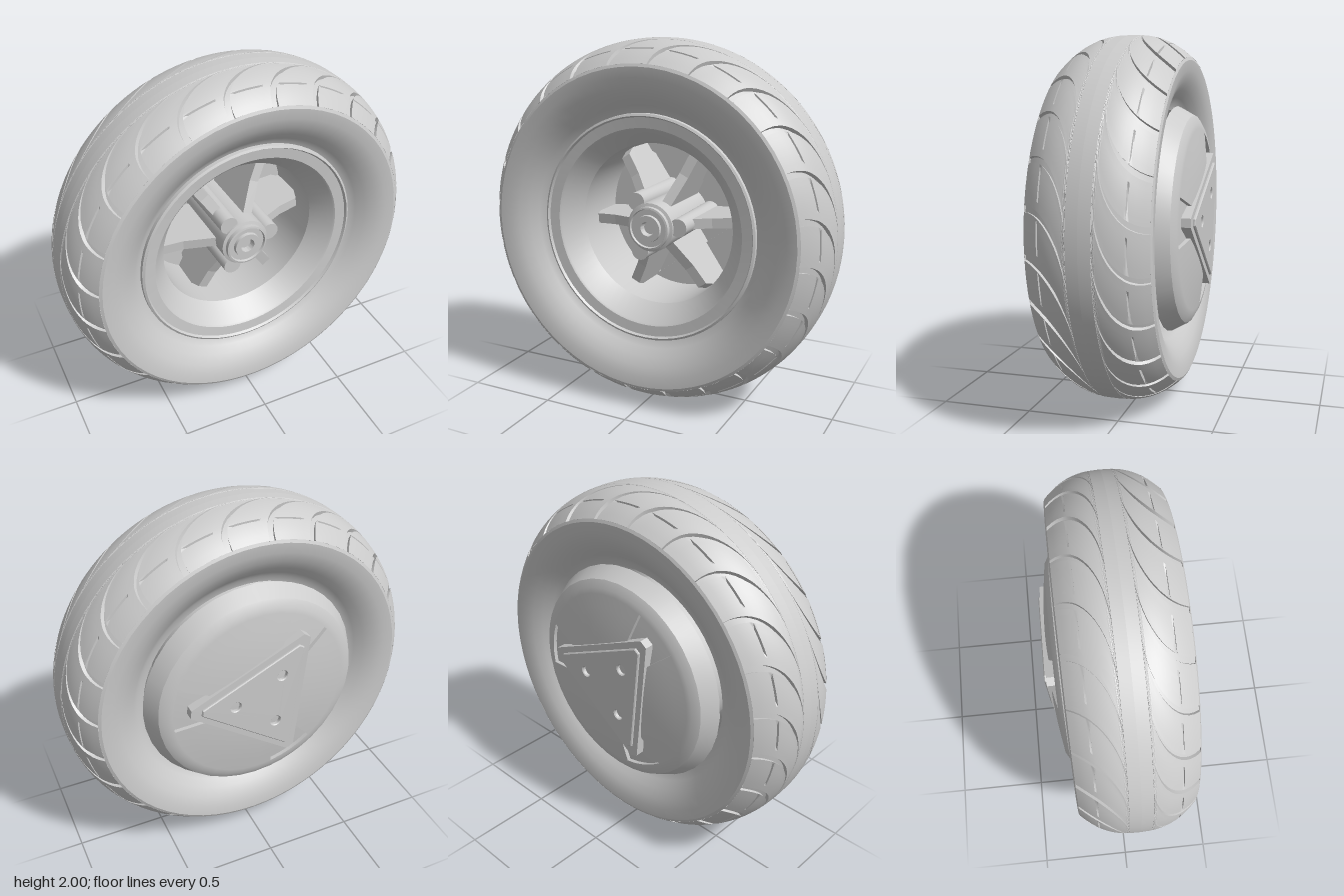
import * as THREE from 'three';
import { toCreasedNormals } from 'three/addons/utils/BufferGeometryUtils.js';

const MID = 0.045;              // z of the tyre's centre plane
const TURN = 6 * Math.PI / 180; // angle of the three-fold parts
const THIRD = Math.PI * 2 / 3;
const mat = new THREE.MeshStandardMaterial({ color: 0xcccccc, side: THREE.DoubleSide });

function add(parent, name, geo) {
  const mesh = new THREE.Mesh(geo, mat);
  mesh.name = name;
  parent.add(mesh);
  return mesh;
}

// Surface of rows and columns that closes on itself around the axle
function ringGrid(rows, cols, point) {
  const pos = [], index = [];
  rows.forEach((row) => cols.forEach((col) => {
    const [r, angle, z] = point(row, col);
    pos.push(r * Math.cos(angle), r * Math.sin(angle), z);
  }));
  const n = cols.length;
  for (let i = 0; i < rows.length - 1; i++) {
    for (let j = 0; j < n; j++) {
      const k = (j + 1) % n, a = i * n + j, b = i * n + k;
      index.push(a, b, b + n, a, b + n, a + n);
    }
  }
  const geo = new THREE.BufferGeometry();
  geo.setAttribute('position', new THREE.Float32BufferAttribute(pos, 3));
  geo.setIndex(index);
  return toCreasedNormals(geo, 0.45);
}

// Lathe about the z axis from [radius, z] points
function turned(points, segments = 64) {
  const geo = new THREE.LatheGeometry(points.map((p) => new THREE.Vector2(...p)), segments);
  return toCreasedNormals(geo.rotateX(Math.PI / 2), 0.45);
}

// Half of the tread, with curved grooves that narrow to a tip
function treadHalf() {
  const count = 24, period = Math.PI * 2 / count, edge = 0.305, tip = 0.06;
  const rows = [{ v: 0, phi: 0, cut: 0 }];
  const addRow = (phi, cut) => rows.push({ v: tip + (edge - tip) * (1 - Math.cos(phi)), phi, cut });
  for (let i = 0; i <= 14; i++) {
    addRow(i / 14 * Math.PI / 2, 0);
    // short cross groove between neighbouring curves
    if (i === 10) [[1.16, 0], [1.16, 1], [1.2, 1], [1.2, 0]].forEach((r) => addRow(...r));
  }
  const cols = [];
  for (let n = 0; n < count; n++) {
    [[0, 0], [0, 1], [1, 1], [1, 0]].forEach(([side, deep]) => cols.push({ n, side, deep, k: 0 }));
    for (let k = 1; k < 5; k++) cols.push({ n, side: 1, deep: 0, k });
  }
  return ringGrid(rows, cols, (row, col) => {
    const s = Math.sin(row.phi), w = 0.036 * Math.sqrt(s);
    const angle = col.n * period + 0.42 * s + col.side * w + (period - w) * col.k / 5;
    const groove = col.deep || (row.cut && col.k > 1);
    const depth = groove ? 0.02 * Math.min(1, s * 3) : 0;
    return [1 - 0.12 * (row.v / edge) ** 2.5 - depth, angle, row.v];
  });
}

// Domed cover with three shallow recesses
function coverGeometry() {
  const dome = (r) => -0.35 + 0.17 * r * r;
  const rows = [[0, 0], [0.15, 0], [0.27, 0], [0.27, 1], [0.35, 1], [0.43, 1], [0.5, 1], [0.5, 0]]
    .map(([r, low]) => ({ r, z: dome(r), low }));
  [[0.53, -0.303], [0.57, -0.28], [0.62, -0.19]].forEach(([r, z]) => rows.push({ r, z, low: 0 }));
  const cols = [];
  for (let n = 0; n < 3; n++) {
    const put = (deg, low) => cols.push({ a: TURN + n * THIRD + deg * Math.PI / 180, low });
    put(-15, 0);
    for (let d = -15; d <= 15; d += 7.5) put(d, 1);
    for (let d = 15; d < 105; d += 10) put(d, 0);
  }
  return ringGrid(rows, cols, (row, col) => [row.r, col.a, row.z + (row.low && col.low ? 0.022 : 0)]);
}

// Triangle with clipped corners
function triangle(Type, radius, clip) {
  const pts = [];
  for (let n = 0; n < 3; n++) {
    const a = TURN + n * THIRD, half = clip * Math.tan(Math.PI / 6), r = radius - clip;
    for (const s of [-half, half]) {
      pts.push(new THREE.Vector2(r * Math.cos(a) - s * Math.sin(a), r * Math.sin(a) + s * Math.cos(a)));
    }
  }
  return new Type(pts);
}

function plate(shape, z, depth, bevel = 0) {
  return new THREE.ExtrudeGeometry(shape, {
    depth, curveSegments: 24, bevelEnabled: bevel > 0, bevelSize: bevel,
    bevelThickness: bevel, bevelSegments: 1, bevelOffset: -bevel,
  }).translate(0, 0, z);
}

function boltHoles(shape) {
  for (let n = 0; n < 3; n++) {
    const a = TURN + n * THIRD;
    shape.holes.push(new THREE.Path().absarc(0.17 * Math.cos(a), 0.17 * Math.sin(a), 0.028, 0, Math.PI * 2, true));
  }
  return shape;
}

export function createModel() {
  const model = new THREE.Group();
  model.name = 'wheel';
  const wheel = new THREE.Group();
  wheel.name = 'tiltedWheel';
  wheel.position.y = 1;
  wheel.rotation.y = 0.017;
  model.add(wheel);

  // Tyre: one half, repeated turned over
  const tread = treadHalf();
  const wall = turned([[0.88, 0.305], [0.865, 0.312], [0.81, 0.307], [0.755, 0.288],
    [0.705, 0.258], [0.665, 0.225], [0.635, 0.2], [0.6, 0.19]]);
  ['front', 'back'].forEach((side, i) => {
    const half = new THREE.Group();
    half.name = side + 'TyreHalf';
    half.position.z = MID;
    half.rotation.x = i * Math.PI;
    add(half, 'tread', tread);
    add(half, 'sidewall', wall);
    wheel.add(half);
  });

  // Rim with a lip, tapered seat, deep barrel and floor
  add(wheel, 'rim', turned([[0.625, 0.22], [0.622, 0.262], [0.61, 0.268], [0.602, 0.255], [0.545, 0.25],
    [0.535, 0.242], [0.45, 0.13], [0.45, -0.27], [0, -0.27]]));
  const floor = new THREE.Shape().absarc(0, 0, 0.452, 0, Math.PI * 2);
  floor.holes.push(triangle(THREE.Path, 0.46, 0.03));
  add(wheel, 'rimFloor', plate(floor, -0.265, 0.04));

  // Back cover and its two-step triangular plate
  add(wheel, 'cover', coverGeometry());
  add(wheel, 'trianglePlate', plate(boltHoles(triangle(THREE.Shape, 0.46, 0.04)), -0.352, 0.05));
  add(wheel, 'triangleCap', plate(boltHoles(triangle(THREE.Shape, 0.39, 0.03)), -0.36, 0.02, 0.005));

  // Hub with a ringed nose and a blind centre hole
  add(wheel, 'hub', turned([[0.135, -0.27], [0.135, 0.2], [0.118, 0.205], [0.118, 0.228], [0.108, 0.23],
    [0.104, 0.218], [0.075, 0.218], [0.072, 0.235], [0.04, 0.235], [0.036, 0.2], [0, 0.2]], 40));

  // Six tapered spokes, with a bolt column beside every second one
  const profile = new THREE.Shape([[0.12, -0.25], [0.455, -0.25], [0.455, -0.06], [0.42, 0.03],
    [0.3, 0.05], [0.12, 0.12]].map((p) => new THREE.Vector2(...p)));
  const spoke = new THREE.ExtrudeGeometry(profile, { depth: 0.056, bevelEnabled: false })
    .translate(0, 0, -0.028).rotateX(Math.PI / 2);
  const column = toCreasedNormals(new THREE.CylinderGeometry(0.05, 0.055, 0.45, 20)
    .rotateX(Math.PI / 2).translate(0.16, 0, -0.035), 0.5);
  for (let n = 0; n < 6; n++) {
    const a = TURN - 0.03 + n * Math.PI / 3;
    add(wheel, 'spoke', spoke).rotation.z = a;
    if (n % 2 === 0) add(wheel, 'boltColumn', column).rotation.z = a;
  }
  return model;
}
